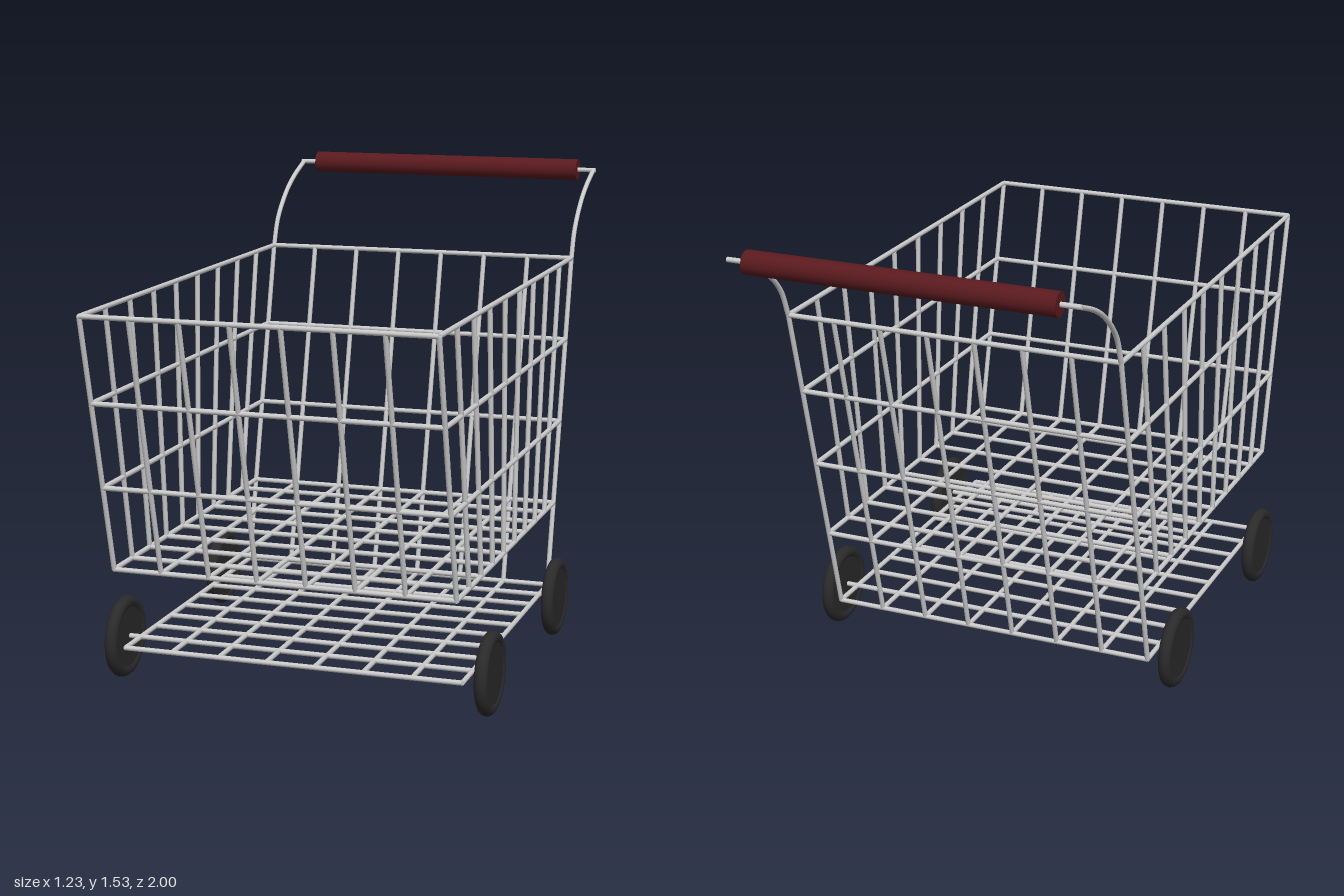
import * as THREE from 'three';

const steel = new THREE.MeshStandardMaterial({ color: 0xcccccc });
const rubber = new THREE.MeshStandardMaterial({ color: 0x2a2a2a });
const red = new THREE.MeshStandardMaterial({ color: 0x5a1a1e });

const ROD = 0.008, HALF = 0.543;          // wire radius, half width of the cart
const COLS = 7, BAYS = 9;                 // wire spacing across and along
const TOP = 1.22, FLOOR = 0.405, TRAY = 0.132;
const lerp = THREE.MathUtils.lerp;

// Front and back edges of the tapered basket at a given height
const frontZ = y => lerp(0.79, 0.992, (y - FLOOR) / (TOP - FLOOR));
const backZ = y => lerp(-0.433, -0.638, (y - FLOOR) / (TOP - FLOOR));
const colX = i => lerp(-HALF, HALF, i / COLS);

// Straight wire between two points
function rod(parent, name, a, b) {
  const p = new THREE.Vector3(...a), q = new THREE.Vector3(...b);
  const dir = q.clone().sub(p);
  const mesh = new THREE.Mesh(new THREE.CylinderGeometry(ROD, ROD, dir.length(), 10), steel);
  mesh.position.copy(p).add(q).multiplyScalar(0.5);
  mesh.quaternion.setFromUnitVectors(new THREE.Vector3(0, 1, 0), dir.normalize());
  mesh.name = name;
  parent.add(mesh);
}

// Flat wire mesh, from z0 (back) to z1 (front)
function grid(name, y, z0, z1) {
  const g = new THREE.Group();
  g.name = name;
  for (let i = 0; i <= COLS; i++) rod(g, 'lengthWire', [colX(i), y, z0], [colX(i), y, z1]);
  for (let j = 0; j <= BAYS; j++) {
    const z = lerp(z0, z1, j / BAYS);
    rod(g, 'crossWire', [-HALF, y, z], [HALF, y, z]);
  }
  return g;
}

function basketWalls() {
  const g = new THREE.Group();
  g.name = 'basketWalls';
  // Horizontal rings; the lowest one belongs to the floor grid
  for (let k = 1; k <= 3; k++) {
    const y = lerp(FLOOR, TOP, k / 3), f = frontZ(y), b = backZ(y);
    rod(g, 'frontRail', [-HALF, y, f], [HALF, y, f]);
    rod(g, 'backRail', [-HALF, y, b], [HALF, y, b]);
    for (const x of [-HALF, HALF]) rod(g, 'sideRail', [x, y, b], [x, y, f]);
  }
  // Front wires end at the floor, back wires run down to the tray
  for (let i = 0; i <= COLS; i++) {
    const x = colX(i);
    rod(g, 'frontWire', [x, FLOOR, frontZ(FLOOR)], [x, TOP, frontZ(TOP)]);
    rod(g, 'backWire', [x, TRAY, backZ(TRAY)], [x, TOP, backZ(TOP)]);
  }
  // Fanned side wires
  for (let j = 1; j < BAYS; j++) {
    const t = j / BAYS;
    const zLow = lerp(backZ(FLOOR), frontZ(FLOOR), t), zHigh = lerp(backZ(TOP), frontZ(TOP), t);
    for (const x of [-HALF, HALF]) rod(g, 'sideWire', [x, FLOOR, zLow], [x, TOP, zHigh]);
  }
  return g;
}

function handle() {
  const g = new THREE.Group();
  g.name = 'handle';
  const y = 1.49, z = -0.963;
  // Curved arms
  for (const x of [-HALF, HALF]) {
    const curve = new THREE.CatmullRomCurve3([
      [TOP, backZ(TOP)], [1.31, -0.678], [1.395, -0.765], [1.445, -0.85], [y, z],
    ].map(p => new THREE.Vector3(x, p[0], p[1])));
    const arm = new THREE.Mesh(new THREE.TubeGeometry(curve, 24, ROD, 10), steel);
    arm.name = 'handleArm';
    g.add(arm);
  }
  rod(g, 'handleBar', [-HALF - ROD, y, z], [HALF + ROD, y, z]);
  const grip = new THREE.Mesh(new THREE.CylinderGeometry(0.037, 0.037, 0.974, 24), red);
  grip.rotation.z = Math.PI / 2;
  grip.position.set(0, y, z);
  grip.name = 'grip';
  g.add(grip);
  return g;
}

// Rounded tyre around a flat disc
function wheel(x, z) {
  const g = new THREE.Group();
  g.name = 'wheel';
  const tyre = new THREE.Mesh(new THREE.TorusGeometry(0.109, 0.021, 14, 40), rubber);
  tyre.rotation.y = Math.PI / 2;
  tyre.name = 'tyre';
  const disc = new THREE.Mesh(new THREE.CylinderGeometry(0.105, 0.105, 0.032, 40), rubber);
  disc.rotation.z = Math.PI / 2;
  disc.name = 'wheelDisc';
  g.add(tyre, disc);
  g.position.set(x, 0.13, z);
  return g;
}

export function createModel() {
  const cart = new THREE.Group();
  cart.name = 'shoppingCart';
  cart.add(
    basketWalls(),
    grid('basketFloor', FLOOR, backZ(FLOOR), frontZ(FLOOR)),
    grid('lowerTray', TRAY, backZ(TRAY), 0.72),
    handle(),
  );
  // Axles and wheels
  for (const z of [0.6, -0.245]) {
    rod(cart, 'axle', [-0.597, TRAY, z], [0.597, TRAY, z]);
    for (const x of [-0.597, 0.597]) cart.add(wheel(x, z));
  }
  return cart;
}
